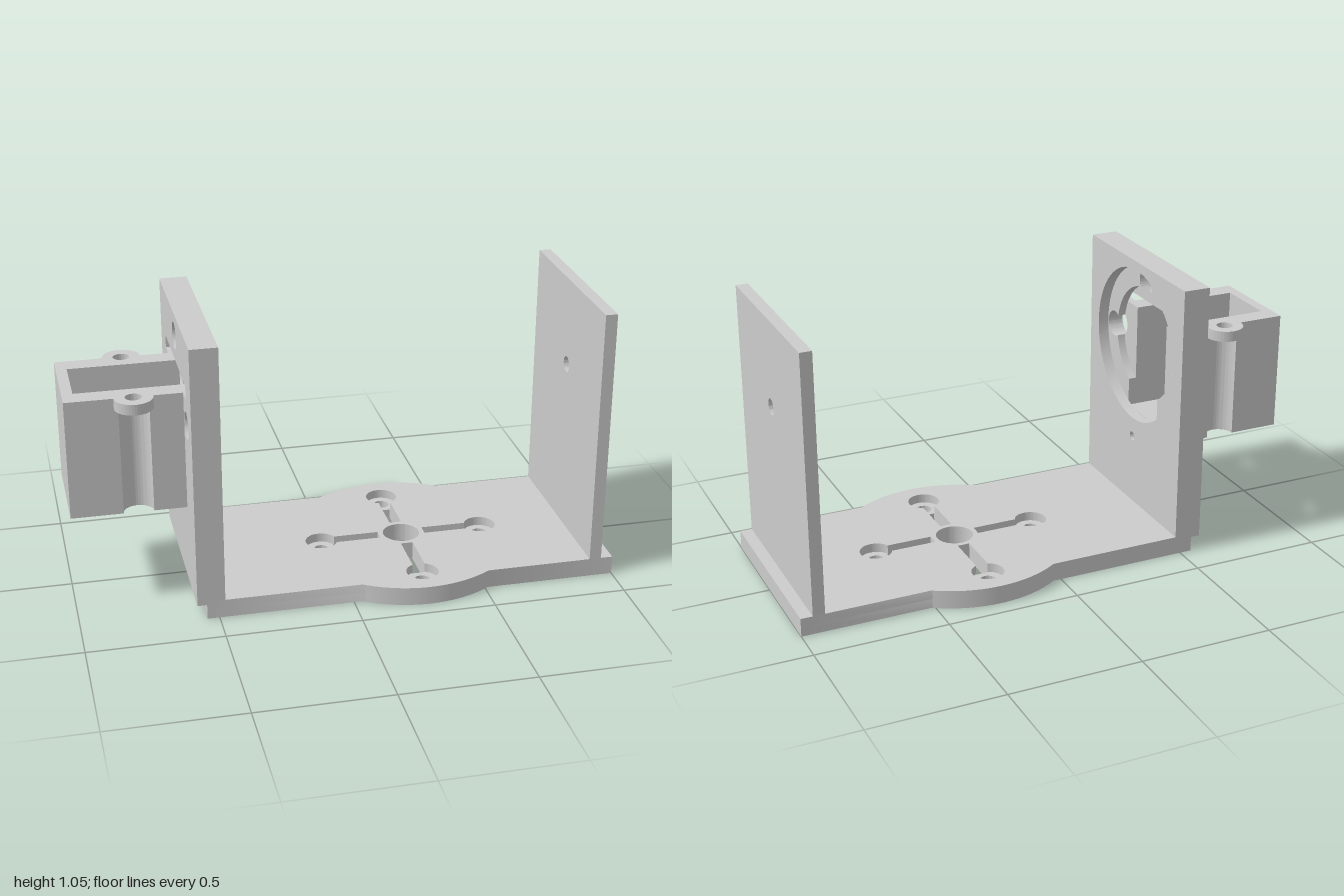
import * as THREE from 'three';
import { toCreasedNormals } from 'three/addons/utils/BufferGeometryUtils.js';

const PI = Math.PI;
const PIVOT = 0.717; // height of the pivot axis

const circle = (x, y, r) => new THREE.Path().absarc(x, y, r, 0, PI * 2, false);
const poly = (pts) => pts.map(([x, y]) => new THREE.Vector2(x, y));
const rect = (x0, y0, x1, y1) => new THREE.Shape(poly([[x0, y0], [x1, y0], [x1, y1], [x0, y1]]));

export function createModel() {
  const model = new THREE.Group();
  const grey = new THREE.MeshStandardMaterial({ color: 0xcccccc });
  grey.name = 'grey plastic';

  function extrude(name, shape, holes, depth) {
    shape.holes.push(...holes);
    const geo = new THREE.ExtrudeGeometry(shape, { depth, bevelEnabled: false, curveSegments: 32 });
    const mesh = new THREE.Mesh(toCreasedNormals(geo, 0.6), grey);
    mesh.name = name;
    model.add(mesh);
    return mesh;
  }
  // Horizontal slab drawn in x and z, from y0 to y1
  function slab(name, shape, holes, y0, y1) {
    const mesh = extrude(name, shape, holes, y1 - y0);
    mesh.geometry.rotateX(-PI / 2).translate(0, y0, 0);
  }
  // Upright panel drawn in z and y, from x0 to x1
  function panel(name, shape, holes, x0, x1) {
    const mesh = extrude(name, shape, holes, x1 - x0);
    mesh.geometry.rotateY(PI / 2).translate(x0, 0, 0);
  }

  // Base plate with a round bulge on each long side
  const cx = 0.272;
  function baseOutline() {
    const r = 0.437, a = Math.asin(0.365 / r);
    const s = new THREE.Shape();
    s.absarc(cx, 0, r, -PI + a, -a, false);
    s.lineTo(1, -0.365);
    s.lineTo(1, 0.365);
    s.absarc(cx, 0, r, a, PI - a, false);
    s.lineTo(-0.545, 0.365);
    s.lineTo(-0.545, -0.365);
    return s;
  }
  const arm = (points, k) => new THREE.Path(points.map((p) =>
    p.clone().rotateAround(new THREE.Vector2(), k * PI / 2).add(new THREE.Vector2(cx, 0))));

  // Cross of slots, screw holes below and counterbores above
  const h = 0.023, bore = 0.06, reach = 0.316;
  const b = Math.asin(h / bore);
  const keyhole = new THREE.Path().absarc(reach, 0, bore, -(PI - b), PI - b, false).getPoints(32);
  keyhole.push(...poly([[0.088, h], [0.088, -h]]));
  const slot = poly([[0.088, -h], [0.264, -h], [0.264, h], [0.088, h]]);
  const screw = circle(reach, 0, 0.03).getPoints(24).slice(0, -1);
  const lower = [circle(cx, 0, 0.07)], upper = [circle(cx, 0, 0.07)];
  for (let k = 0; k < 4; k++) {
    lower.push(arm(slot, k), arm(screw, k));
    upper.push(arm(keyhole, k));
  }
  slab('baseLower', baseOutline(), lower, 0, 0.035);
  slab('baseUpper', baseOutline(), upper, 0.035, 0.07);

  // Thin wall with pivot hole
  panel('pivotWall', rect(-0.365, 0.07, 0.365, 1.05), [circle(0, PIVOT, 0.03)], 0.91, 0.955);

  // Thick wall in three layers: round recess, stepped ring, motor opening
  const wall = () => rect(-0.365, 0.057, 0.365, 1.05);
  const wireHole = () => circle(0, 0.34, 0.018);
  panel('wallRecess', wall(), [circle(0, PIVOT, 0.3), wireHole()], -0.52, -0.478);

  // Ring bore with three round lobes and a square foot
  const R = 0.22, d = 0.245, r = 0.05, half = 0.115, floor = 0.42;
  const a = Math.acos((R * R + d * d - r * r) / (2 * R * d));
  const lobe = PI + Math.atan2(-R * Math.sin(a), R * Math.cos(a) - d);
  const c = Math.asin(half / R);
  const ring = new THREE.Path();
  let from = -PI / 2 + c;
  for (let k = 0; k < 3; k++) {
    const t = k * PI / 2;
    ring.absarc(0, PIVOT, R, from, t - a, false);
    ring.absarc(d * Math.cos(t), PIVOT + d * Math.sin(t), r, t - PI + lobe, t + PI - lobe, false);
    from = t + a;
  }
  ring.absarc(0, PIVOT, R, from, PI * 1.5 - c, false);
  ring.lineTo(-half, floor);
  ring.lineTo(half, floor);
  panel('wallRing', wall(), [ring, wireHole()], -0.55, -0.52);

  const opening = new THREE.Path(poly([[-half, floor], [half, floor], [half, 0.82], [0.25, 0.82],
    [0.25, 0.87], [-0.25, 0.87], [-0.25, 0.82], [-half, 0.82]]));
  const outerHoles = [[0, PIVOT + d], [d, PIVOT], [-d, PIVOT]].map(([z, y]) => circle(z, y, r));
  panel('wallOuter', wall(), [opening, wireHole(), ...outerHoles], -0.58, -0.55);

  // Motor box: side grooves below, screw ears on the rim, open at top and wall
  const earX = -0.755, side = 0.19;
  function boxOutline(radius, groove, cavity) {
    const s = new THREE.Shape();
    s.absarc(earX, -side, radius, PI, groove ? 0 : PI * 2, groove);
    s.lineTo(-0.58, -side);
    if (cavity) {
      for (const [x, z] of [[-0.58, -half], [-0.96, -half], [-0.96, half], [-0.58, half]]) s.lineTo(x, z);
    }
    s.lineTo(-0.58, side);
    s.absarc(earX, side, radius, 0, groove ? -PI : PI, groove);
    s.lineTo(-1, side);
    s.lineTo(-1, -side);
    return s;
  }
  slab('boxFloor', boxOutline(0.055, true, false), [], 0.37, floor);
  slab('boxSides', boxOutline(0.055, true, true), [], floor, 0.78);
  slab('boxRim', boxOutline(0.07, false, true),
    [circle(earX, side, 0.03), circle(earX, -side, 0.03)], 0.78, 0.82);

  return model;
}
